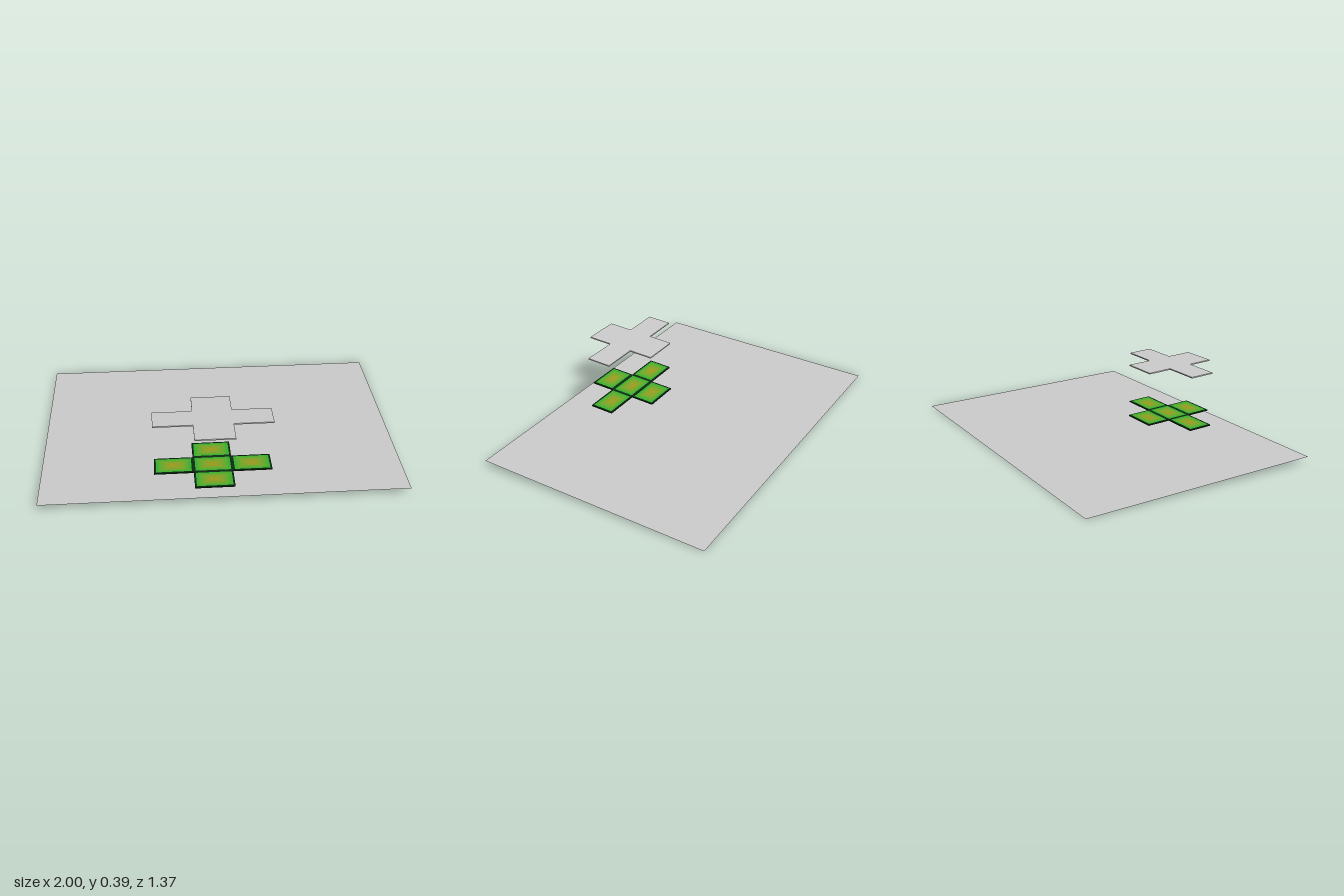
import * as THREE from 'three';

const W = 0.216, D = 0.143, T = 0.007; // one panel of the cross
const CELLS = [[0, 0], [-1, 0], [1, 0], [0, -1], [0, 1]];
const NAMES = ['centre', 'right', 'left', 'back', 'front'];

function rect(Type, w, d) {
  const p = new Type();
  p.moveTo(-w / 2, -d / 2);
  p.lineTo(w / 2, -d / 2);
  p.lineTo(w / 2, d / 2);
  p.lineTo(-w / 2, d / 2);
  p.closePath();
  return p;
}

// Five flat panels in a cross, rising slightly towards the front
function makeCross(name, color, y, z) {
  const cross = new THREE.Group();
  cross.name = name;
  cross.position.set(-0.055, y, z);
  cross.rotation.x = -0.053;
  const material = new THREE.MeshStandardMaterial({ color });
  const geometry = new THREE.BoxGeometry(W, T, D);
  CELLS.forEach(([i, k], n) => {
    const panel = new THREE.Mesh(geometry, material);
    panel.name = NAMES[n] + 'Panel';
    panel.position.set(i * W, 0, k * D);
    cross.add(panel);
  });
  return cross;
}

// Nested colour bands, green at the rim to olive in the middle
function addGradient(cross) {
  const steps = 6, rim = new THREE.Color(0x36b02c), core = new THREE.Color(0xa09a1c);
  for (let s = 0; s < steps; s++) {
    const size = (q) => [(W - 0.02) * (1 - q / steps), (D - 0.02) * (1 - q / steps)];
    const shape = rect(THREE.Shape, ...size(s));
    if (s < steps - 1) shape.holes.push(rect(THREE.Path, ...size(s + 1)));
    const geometry = new THREE.ShapeGeometry(shape);
    const material = new THREE.MeshStandardMaterial({ color: rim.clone().lerp(core, s / (steps - 1)) });
    CELLS.forEach(([i, k], n) => {
      for (const side of [1, -1]) {
        const band = new THREE.Mesh(geometry, material);
        band.name = NAMES[n] + (side > 0 ? 'TopBand' : 'UndersideBand');
        band.rotation.x = -side * Math.PI / 2;
        band.position.set(i * W, side * (T / 2 + 0.0006), k * D);
        cross.add(band);
      }
    });
  }
}

export function createModel() {
  const model = new THREE.Group();
  model.name = 'layeredCross';

  // Thin ground sheet, tilted up at the front
  const ground = new THREE.Mesh(
    new THREE.PlaneGeometry(2, 1.375),
    new THREE.MeshStandardMaterial({ color: 0xcccccc, side: THREE.DoubleSide })
  );
  ground.name = 'ground';
  ground.rotation.x = -Math.PI / 2 - 0.029;
  ground.position.y = 0.02;
  model.add(ground);

  // Coloured cross close to the ground, plain cross floating above it
  const lower = makeCross('lowerCross', 0x0c2a10, 0.0645, 0.431);
  addGradient(lower);
  model.add(lower, makeCross('upperCross', 0xcccccc, 0.378, 0.433));
  return model;
}
